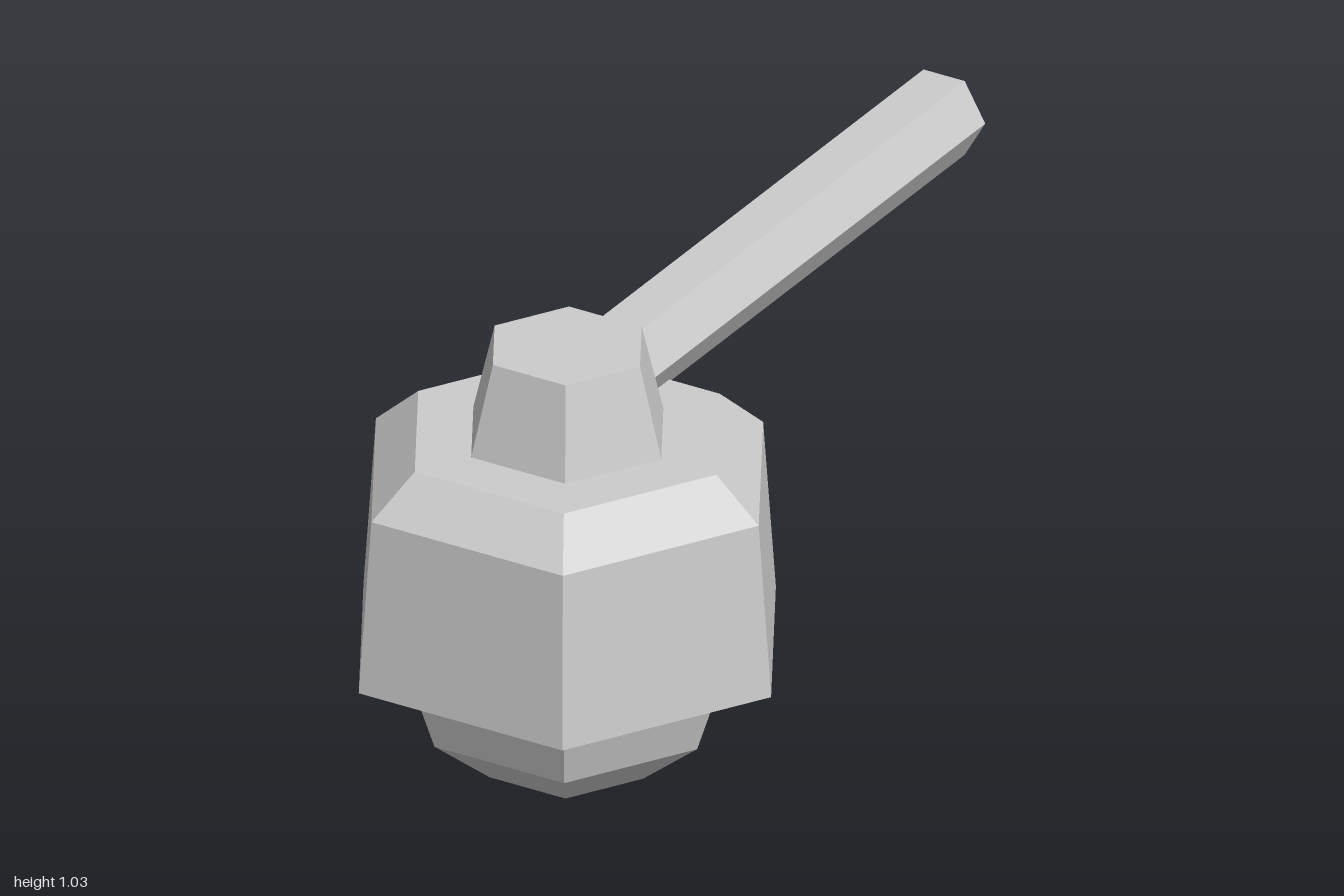
import * as THREE from 'three';

const SIDES = 6;
const HEAD_Z = 0.56;

export function createModel() {
  const model = new THREE.Group();
  model.name = 'hammer';

  const grey = new THREE.MeshStandardMaterial({ color: 0xcccccc, flatShading: true });
  grey.name = 'grey';

  // Six-sided turned part, with corners on the x axis
  function turned(name, profile) {
    const points = profile.map(([r, y]) => new THREE.Vector2(r, y));
    const mesh = new THREE.Mesh(new THREE.LatheGeometry(points, SIDES, Math.PI / 2), grey);
    mesh.name = name;
    mesh.position.z = HEAD_Z;
    model.add(mesh);
  }

  // Rounded striking nose under the head
  turned('nose', [[0, 0], [0.19, 0.04], [0.325, 0.148], [0.375, 0.296]]);

  // Broad head with sloped underside and bevelled top
  turned('head', [[0.375, 0.296], [0.51, 0.324], [0.479, 0.73], [0.373, 0.825], [0.235, 0.825]]);

  // Tapered collar on top
  turned('collar', [[0.235, 0.825], [0.182, 1.035], [0, 1.035]]);

  // Straight handle running back from inside the collar
  const back = -1, front = 0.46;
  const bar = new THREE.CylinderGeometry(0.103, 0.103, front - back, SIDES);
  bar.rotateY(Math.PI / 2).rotateX(Math.PI / 2);
  const handle = new THREE.Mesh(bar, grey);
  handle.name = 'handle';
  handle.position.set(0, 0.9, (front + back) / 2);
  model.add(handle);

  return model;
}
